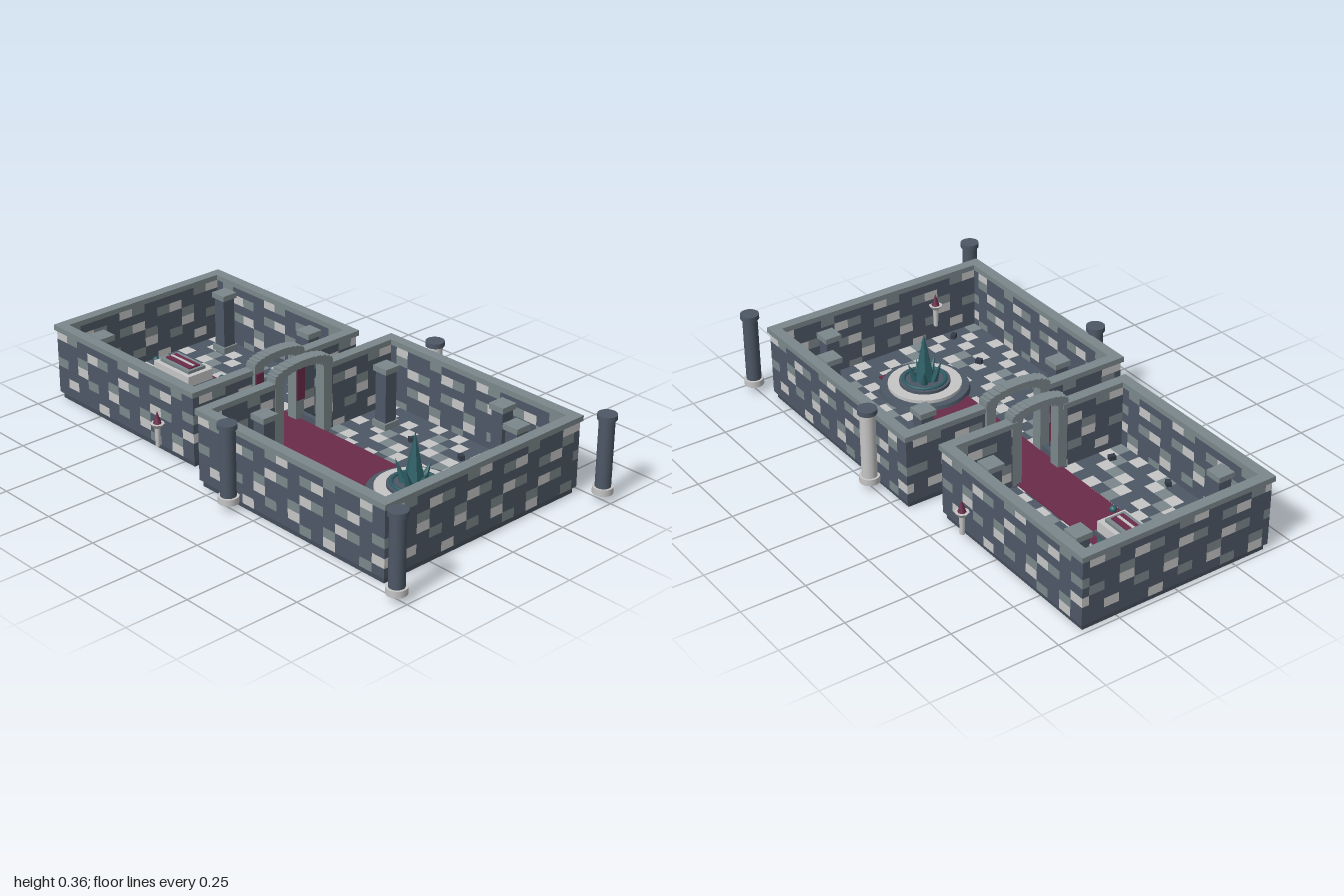
import * as THREE from 'three';
import { mergeGeometries } from 'three/addons/utils/BufferGeometryUtils.js';

const mat = (name, color) => {
  const m = new THREE.MeshStandardMaterial({ color });
  m.name = name;
  return m;
};

export function createModel() {
  const root = new THREE.Group();
  root.name = 'dungeonRooms';
  const M = {
    slate: mat('slate', 0x4d5866),
    grey: mat('greyStone', 0x7b888c),
    light: mat('paleStone', 0xc6c6c6),
    base: mat('foundation', 0x434d5a),
    crimson: mat('crimson', 0x6a2c49),
    teal: mat('teal', 0x2c5f66),
    dark: mat('darkStone', 0x343c48),
  };

  const group = (name, parent = root) => {
    const g = new THREE.Group();
    g.name = name;
    parent.add(g);
    return g;
  };
  const add = (parent, name, geo, m, x = 0, y = 0, z = 0) => {
    const mesh = new THREE.Mesh(geo, m);
    mesh.name = name;
    mesh.position.set(x, y, z);
    parent.add(mesh);
    return mesh;
  };
  const boxGeo = (x0, x1, y0, y1, z0, z1) =>
    new THREE.BoxGeometry(x1 - x0, y1 - y0, z1 - z0)
      .translate((x0 + x1) / 2, (y0 + y1) / 2, (z0 + z1) / 2);
  const box = (parent, name, m, ...b) => add(parent, name, boxGeo(...b), m);
  // upright cylinder given by its bottom and top heights
  const drum = (parent, name, m, x, z, y0, y1, r, rTop = r, sides = 24) =>
    add(parent, name, new THREE.CylinderGeometry(rTop, r, y1 - y0, sides), m, x, (y0 + y1) / 2, z);
  // one merged mesh for each colour of a block pattern
  const addBlocks = (parent, name, blocks) => {
    for (const key in blocks)
      if (blocks[key].length) add(parent, name + key, mergeGeometries(blocks[key]), M[key]);
  };

  const WALL = 0.028, BOTTOM = 0.025, ROWS = 7, ROW_H = 0.037, FLOOR = 0.035;
  const brickColour = (c, r) =>
    (((c - 3 * r) % 7) + 7) % 7 === 0 ? 'light' : (c + 2 * r) % 5 === 1 ? 'grey' : 'slate';

  // course of bricks along x or z, skipping the doorway
  function brickWall(blocks, axis, a, b, c0, c1, door) {
    const n = Math.round(Math.abs(b - a) / 0.06);
    for (let r = 0; r < ROWS; r++) {
      const top = BOTTOM + (ROWS - r) * ROW_H;
      for (let c = 0; c < n; c++) {
        const p = a + ((b - a) * c) / n, q = a + ((b - a) * (c + 1)) / n;
        let lo = Math.min(p, q), hi = Math.max(p, q);
        if (door) {
          if (lo >= -door && hi <= door) continue;
          if (lo < -door && hi > -door) hi = -door;
          if (hi > door && lo < door) lo = door;
        }
        const k = brickColour(c, r);
        blocks[k].push(axis === 'x'
          ? boxGeo(lo, hi, top - ROW_H, top, c0, c1)
          : boxGeo(c0, c1, top - ROW_H, top, lo, hi));
      }
    }
  }

  // room with tiled floor, brick walls and coping; doorSide is -1 or 1 along x
  function room(name, x0, x1, hz, doorSide) {
    const g = group(name);
    box(g, 'foundation', M.base, x0 + 0.01, x1 - 0.01, 0, 0.028, -hz + 0.01, hz - 0.01);

    const tiles = { slate: [], grey: [], light: [] };
    const ix0 = x0 + WALL, ix1 = x1 - WALL, iz = hz - WALL;
    const nx = Math.round((ix1 - ix0) / 0.052), nz = Math.round((2 * iz) / 0.052);
    const dx = (ix1 - ix0) / nx, dz = (2 * iz) / nz;
    for (let i = 0; i < nx; i++) for (let j = 0; j < nz; j++) {
      const k = (i * 3 + j * 5) % 7 < 2 ? 'light' : (i * 2 + j * 3) % 5 === 0 ? 'grey' : 'slate';
      tiles[k].push(boxGeo(ix0 + i * dx, ix0 + (i + 1) * dx, 0.026, FLOOR, -iz + j * dz, -iz + (j + 1) * dz));
    }
    addBlocks(g, 'floorTiles_', tiles);

    const bricks = { slate: [], grey: [], light: [] };
    brickWall(bricks, 'x', x0, x1, hz - WALL, hz);
    brickWall(bricks, 'x', x1, x0, -hz, -hz + WALL);
    brickWall(bricks, 'z', iz, -iz, x1 - WALL, x1, doorSide > 0 ? 0.1 : 0);
    brickWall(bricks, 'z', -iz, iz, x0, x0 + WALL, doorSide < 0 ? 0.1 : 0);
    addBlocks(g, 'wallBricks_', bricks);

    // coping stones on top of the walls
    const e = 0.008, t = WALL + 0.006, y0 = 0.283, y1 = 0.304;
    for (const s of [-1, 1]) {
      const zo = s * (hz + e), zi = s * (hz - t);
      box(g, 'copingLong', M.grey, x0 - e, x1 + e, y0, y1, Math.min(zo, zi), Math.max(zo, zi));
      const a = s > 0 ? x1 - t : x0 - e, b = s > 0 ? x1 + e : x0 + t;
      if (s === doorSide) {
        box(g, 'copingDoor', M.grey, a, b, y0, y1, 0.1, hz - t);
        box(g, 'copingDoor', M.grey, a, b, y0, y1, -hz + t, -0.1);
      } else box(g, 'copingShort', M.grey, a, b, y0, y1, -hz + t, hz - t);
    }
    return g;
  }
  const crypt = room('cryptRoom', -0.99, -0.185, 0.4, 1);
  const hall = room('crystalHall', -0.07, 0.865, 0.472, -1);

  // passage between the rooms
  const passage = group('passage');
  box(passage, 'passageFloor', M.base, -0.22, -0.03, 0.004, FLOOR + 0.001, -0.12, 0.12);
  for (const s of [-1, 1])
    box(passage, 'passageCurb', M.slate, -0.185, -0.07, 0.02, 0.06, s * 0.115 - 0.01, s * 0.115 + 0.01);
  box(passage, 'carpet', M.crimson, -0.68, 0.7, FLOOR, 0.041, -0.1, 0.1);

  // gate posts with stepped stone arches
  function gate(name, x, half, rise) {
    const g = group(name);
    for (const s of [-1, 1])
      box(g, 'gatePost', M.grey, x - 0.022, x + 0.022, FLOOR, 0.306,
        s * half - 0.02, s * half + 0.02);
    const stones = [];
    for (let i = 0; i <= 12; i++) {
      const a = (Math.PI * i) / 12, y = 0.306 + rise * Math.sin(a), z = half * Math.cos(a);
      stones.push(boxGeo(x - 0.024, x + 0.024, y - 0.012, y + 0.016, z - 0.022, z + 0.022));
    }
    add(g, 'archStones', mergeGeometries(stones), M.grey);
    return g;
  }
  const inner = gate('cryptGate', -0.192, 0.1, 0.028);
  gate('hallGate', -0.06, 0.118, 0.034);
  for (const s of [-1, 1])
    box(inner, 'banner', M.crimson, -0.169, -0.163, 0.12, 0.29, s * 0.1 - 0.018, s * 0.1 + 0.018);

  // square columns inside the rooms
  const column = (parent, x, z) => {
    const g = group('squareColumn', parent);
    const part = (n, m, h, y0, y1) => box(g, n, m, x - h, x + h, y0, y1, z - h, z + h);
    part('plinth', M.grey, 0.035, FLOOR, 0.06);
    part('shaft', M.slate, 0.027, 0.06, 0.26);
    part('capital', M.grey, 0.034, 0.26, 0.282);
  };
  [[-0.84, -0.305], [-0.345, -0.305], [-0.84, 0.3]].forEach(p => column(crypt, ...p));
  [[0.585, -0.38], [0.73, -0.295], [0.08, -0.3], [0.08, 0.295]].forEach(p => column(hall, ...p));

  // round columns outside the hall
  for (const x of [0.127, 0.957]) for (const z of [-0.505, 0.505]) {
    const g = group('roundColumn');
    drum(g, 'columnBase', M.light, x, z, 0.028, 0.053, 0.038);
    drum(g, 'columnShaft', x < 0.5 && z < 0 ? M.light : M.slate, x, z, 0.053, 0.314, 0.029);
    drum(g, 'columnCap', M.slate, x, z, 0.314, 0.333, 0.036);
  }

  // round dais with a cluster of crystals
  const dais = group('crystalDais', hall);
  const dx = 0.53;
  drum(dais, 'daisStep', M.slate, dx, 0, FLOOR, 0.055, 0.175, 0.17, 32);
  drum(dais, 'daisRing', M.light, dx, 0, 0.055, 0.068, 0.142, 0.142, 32);
  drum(dais, 'daisTop', M.slate, dx, 0, 0.068, 0.08, 0.098, 0.098, 32);
  add(dais, 'runeRing', new THREE.TorusGeometry(0.08, 0.007, 6, 32).rotateX(Math.PI / 2), M.teal, dx, 0.082, 0);
  const crystal = (x, z, r, h, tiltX = 0, tiltZ = 0) => {
    const c = add(dais, 'crystal',
      new THREE.ConeGeometry(r, h, 6).toNonIndexed().translate(0, h / 2, 0), M.teal, x, 0.075, z);
    c.geometry.computeVertexNormals();
    c.rotation.set(tiltX, 0, tiltZ);
  };
  crystal(dx, 0, 0.042, 0.205);
  for (let i = 0; i < 5; i++) {
    const a = (i * Math.PI * 2) / 5;
    crystal(dx + 0.035 * Math.cos(a), 0.035 * Math.sin(a), 0.018, 0.07 + 0.015 * (i % 3),
      0.35 * Math.sin(a), -0.35 * Math.cos(a));
  }

  // tomb on a teal disc
  const tomb = group('tomb', crypt);
  const tx = -0.733;
  drum(tomb, 'tombDisc', M.teal, tx, 0, FLOOR, 0.044, 0.112, 0.112, 32);
  const slab = (n, m, hx, hz, y0, y1) => box(tomb, n, m, tx - hx, tx + hx, y0, y1, -hz, hz);
  slab('tombPlinth', M.slate, 0.113, 0.068, 0.04, 0.058);
  slab('tombBody', M.light, 0.105, 0.06, 0.058, 0.1);
  slab('tombLid', M.grey, 0.085, 0.042, 0.1, 0.112);
  slab('tombPanel', M.crimson, 0.072, 0.026, 0.112, 0.117);
  slab('tombBand', M.light, 0.066, 0.005, 0.117, 0.12);
  [[-0.9, -0.05], [-0.925, -0.02], [-0.545, 0.075], [-0.62, -0.1]].forEach(([x, z]) =>
    add(tomb, 'orb', new THREE.SphereGeometry(0.014, 12, 8), M.teal, x, 0.049, z));

  // torches on the outer walls of the crypt and inside the hall
  const torch = (x, z, y) => {
    const g = group('torch');
    drum(g, 'torchStem', M.light, x, z, y, y + 0.075, 0.009, 0.011, 8);
    drum(g, 'torchCup', M.light, x, z, y + 0.075, y + 0.092, 0.015, 0.027, 8);
    drum(g, 'torchFlame', M.crimson, x, z, y + 0.092, y + 0.138, 0.016, 0.001, 8);
  };
  for (const s of [-1, 1]) {
    torch(-0.352, s * 0.432, 0.04);
    torch(0.818, s * 0.245, 0.1);
  }

  // fallen rubble on the floors
  const rubble = [];
  for (let i = 0; i < 14; i++) {
    const x = i < 6 ? -0.9 + i * 0.125 : 0.02 + (i - 6) * 0.11;
    const z = (i % 2 ? 1 : -1) * (0.34 - 0.03 * (i % 3));
    rubble.push(new THREE.BoxGeometry(0.026, 0.018, 0.02).rotateY(i * 0.9).translate(x, FLOOR + 0.009, z));
  }
  add(root, 'rubble', mergeGeometries(rubble), M.dark);

  return root;
}
